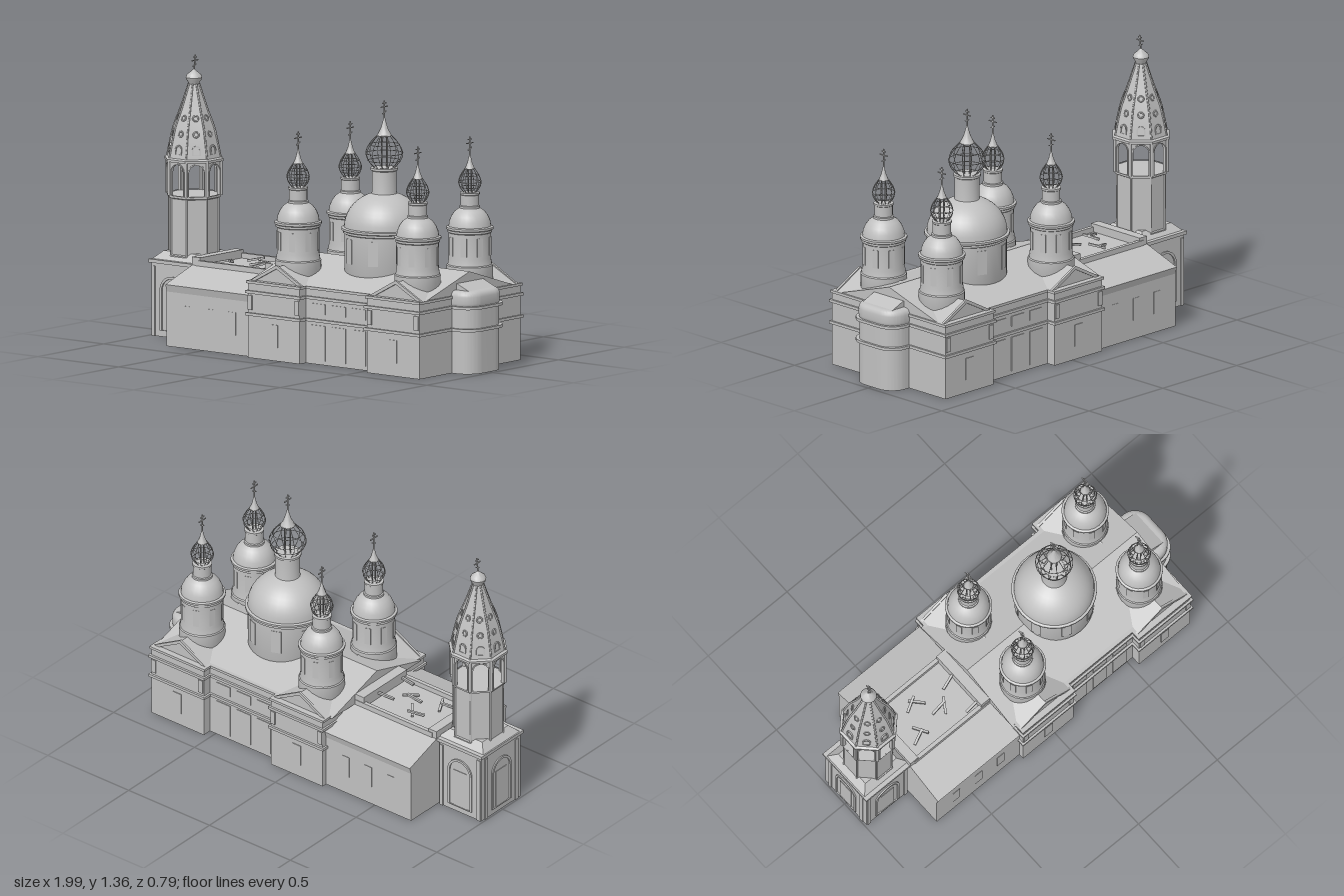
import * as THREE from 'three';
import { toCreasedNormals } from 'three/addons/utils/BufferGeometryUtils.js';

const stone = new THREE.MeshStandardMaterial({ color: 0xc0c0c0, side: THREE.DoubleSide });
stone.name = 'grey stone';

function add(parent, name, geo, x = 0, y = 0, z = 0) {
  const m = new THREE.Mesh(geo, stone);
  m.name = name;
  m.position.set(x, y, z);
  parent.add(m);
  return m;
}
function group(parent, name, x = 0, y = 0, z = 0) {
  const g = new THREE.Group();
  g.name = name;
  g.position.set(x, y, z);
  parent.add(g);
  return g;
}
// Box given by its limits
function block(parent, name, x0, x1, y0, y1, z0, z1) {
  return add(parent, name, new THREE.BoxGeometry(x1 - x0, y1 - y0, z1 - z0), (x0 + x1) / 2, (y0 + y1) / 2, (z0 + z1) / 2);
}
const pts = (a) => a.map(([x, y]) => new THREE.Vector2(x, y));
const turned = (profile, seg = 24) => toCreasedNormals(new THREE.LatheGeometry(pts(profile), seg), 0.6);
// Eight-sided solid with flat faces toward the axes; profile holds apothems
const octagon = (profile) => toCreasedNormals(new THREE.LatheGeometry(
  pts(profile.map(([a, y]) => [a / Math.cos(Math.PI / 8), y])), 8, Math.PI / 8), 0.3);
// Polygon section in (x, y) extruded along z, centred
function prism(points, length) {
  return new THREE.ExtrudeGeometry(new THREE.Shape(pts(points)), { depth: length, bevelEnabled: false }).translate(0, 0, -length / 2);
}
// Round-headed outline standing on y0
function archPath(P, w, y0, top) {
  const p = new P();
  p.moveTo(-w, y0);
  p.lineTo(w, y0);
  p.lineTo(w, top - w);
  p.absarc(0, top - w, w, 0, Math.PI, false);
  p.lineTo(-w, y0);
  return p;
}
function archFrame(w, y0, top, rim, depth) {
  const s = archPath(THREE.Shape, w + rim, y0, top + rim);
  s.holes.push(archPath(THREE.Path, w, y0 + 0.002, top));
  return new THREE.ExtrudeGeometry(s, { depth, bevelEnabled: false, curveSegments: 8 });
}

function cross(parent, y, h) {
  const g = group(parent, 'cross', 0, y, 0);
  const t = 0.005;
  add(g, 'crossPost', new THREE.BoxGeometry(t, h, t), 0, h / 2);
  add(g, 'crossTopBar', new THREE.BoxGeometry(t, t, h * 0.28), 0, h * 0.86);
  add(g, 'crossMainBar', new THREE.BoxGeometry(t, t, h * 0.58), 0, h * 0.66);
  add(g, 'crossSlantBar', new THREE.BoxGeometry(t, t, h * 0.32), 0, h * 0.36).rotation.x = 0.45;
  return g;
}

// Open onion frame of ribs and hoops around a core, capped by a cone
function onionCage(parent, y, r, h, neck, cap, tip) {
  const g = group(parent, 'onionCage', 0, y, 0);
  const line = [[neck, 0], [r * 0.88, h * 0.22], [r, h * 0.45], [r * 0.82, h * 0.72], [cap, h]];
  const curve = new THREE.CatmullRomCurve3(line.map(([a, b]) => new THREE.Vector3(a, b, 0)));
  const rib = new THREE.TubeGeometry(curve, 10, 0.0018, 4);
  for (let i = 0; i < 12; i++) add(g, 'cageRib', rib).rotation.y = i * Math.PI / 6;
  for (const [a, b] of line) add(g, 'cageHoop', new THREE.TorusGeometry(a, 0.0018, 4, 24).rotateX(Math.PI / 2), 0, b);
  for (let i = 0; i < 4; i++) {
    const a = i * Math.PI / 2;
    add(g, 'corePost', new THREE.CylinderGeometry(0.003, 0.003, h, 5), r * 0.2 * Math.cos(a), h / 2, r * 0.2 * Math.sin(a));
  }
  add(g, 'capCone', turned([[0, h], [cap, h], [cap * 0.5, h + tip * 0.35], [cap * 0.2, h + tip * 0.7], [0.001, h + tip]], 12));
}

function drumWindows(parent, n, r, y, w, h) {
  for (let i = 0; i < n; i++) {
    const a = (i + 0.5) * 2 * Math.PI / n;
    add(parent, 'drumWindow', new THREE.BoxGeometry(w, h, 0.008), r * Math.sin(a), y, r * Math.cos(a)).rotation.y = a;
  }
}

function smallDome(parent, x, z) {
  const g = group(parent, 'smallDome', x, 0, z);
  add(g, 'drum', turned([[0.095, 0.36], [0.112, 0.4], [0.112, 0.47], [0.107, 0.475], [0.102, 0.505], [0.102, 0.628],
    [0.108, 0.632], [0.108, 0.642], [0.114, 0.646], [0.114, 0.656], [0.103, 0.66]]));
  add(g, 'dome', turned([[0.103, 0.658], [0.099, 0.685], [0.088, 0.71], [0.072, 0.732], [0.05, 0.747], [0.05, 0.757],
    [0.044, 0.76], [0.044, 0.81], [0.048, 0.813], [0.048, 0.822], [0, 0.824]]));
  drumWindows(g, 8, 0.099, 0.565, 0.03, 0.09);
  onionCage(g, 0.822, 0.055, 0.115, 0.03, 0.024, 0.085);
  cross(g, 1.0, 0.092);
}

function mainDome(parent) {
  const g = group(parent, 'mainDome', 0.33, 0, 0);
  add(g, 'drum', turned([[0.18, 0.4], [0.192, 0.43], [0.192, 0.612], [0.199, 0.616], [0.199, 0.626], [0.206, 0.63],
    [0.206, 0.64], [0.194, 0.644]], 32));
  const dome = [];
  for (let i = 0; i <= 9; i++) {
    const a = i / 9 * 1.25;
    dome.push([0.194 * Math.cos(a), 0.642 + 0.172 * Math.sin(a)]);
  }
  add(g, 'dome', turned([...dome, [0.06, 0.812], [0.06, 0.915], [0.066, 0.919], [0.066, 0.93], [0, 0.932]], 32));
  drumWindows(g, 8, 0.189, 0.535, 0.05, 0.12);
  onionCage(g, 0.93, 0.09, 0.155, 0.05, 0.036, 0.1);
  cross(g, 1.165, 0.09);
}

function bellTower(parent) {
  const g = group(parent, 'bellTower', -0.86, 0, 0);
  // Square base with round-headed niches
  block(g, 'towerBase', -0.13, 0.13, 0, 0.365, -0.15, 0.15);
  block(g, 'baseCornice', -0.14, 0.14, 0.355, 0.372, -0.16, 0.16);
  for (const [ry, d] of [[0, 0.15], [Math.PI, 0.15], [-Math.PI / 2, 0.13]]) {
    const side = group(g, 'nicheSide');
    side.rotation.y = ry;
    add(side, 'nicheFrame', archFrame(0.062, 0.03, 0.285, 0.012, 0.007), 0, 0, d);
    add(side, 'nicheDoor', new THREE.BoxGeometry(0.08, 0.2, 0.004), 0, 0.13, d + 0.001);
    for (const s of [-1, 1]) add(side, 'pilaster', new THREE.BoxGeometry(0.02, 0.34, 0.006), s * 0.115, 0.17, d + 0.002);
  }
  add(g, 'baseRoof', new THREE.CylinderGeometry(0.14, 0.198, 0.04, 4, 1).rotateY(Math.PI / 4).toNonIndexed(), 0.005, 0.39).geometry.computeVertexNormals();

  // Eight-sided shaft, open belfry and spire
  const o = group(g, 'octagonTower', 0.012, 0, 0);
  add(o, 'shaft', octagon([[0.12, 0.37], [0.12, 0.395], [0.115, 0.4], [0.115, 0.67], [0.124, 0.675], [0.124, 0.685], [0, 0.686]]));
  add(o, 'spire', octagon([[0, 0.85], [0.136, 0.85], [0.136, 0.862], [0.124, 0.868], [0.112, 0.93], [0.094, 1.01],
    [0.062, 1.1], [0.04, 1.17], [0.024, 1.22]]));
  const half = 0.126 * Math.tan(Math.PI / 8);
  const wall = new THREE.Shape(pts([[-half, 0.68], [half, 0.68], [half, 0.855], [-half, 0.855]]));
  wall.holes.push(archPath(THREE.Path, 0.037, 0.684, 0.84));
  const wallGeo = new THREE.ExtrudeGeometry(wall, { depth: 0.014, bevelEnabled: false, curveSegments: 8 });
  const ribCurve = new THREE.CatmullRomCurve3([[0.134, 0.868], [0.121, 0.93], [0.102, 1.01], [0.067, 1.1], [0.043, 1.17], [0.026, 1.22]]
    .map(([r, y]) => new THREE.Vector3(0, y, r)));
  const ribGeo = new THREE.TubeGeometry(ribCurve, 12, 0.005, 5);
  const gable = archFrame(0.014, 0, 0.04, 0.007, 0.016);
  const eye = new THREE.TorusGeometry(0.013, 0.004, 5, 12);
  for (let i = 0; i < 8; i++) {
    const f = group(o, 'octagonSide');
    f.rotation.y = i * Math.PI / 4;
    add(f, 'belfryArch', wallGeo, 0, 0, 0.112);
    add(f, 'archTrim', archFrame(0.037, 0.686, 0.84, 0.006, 0.005), 0, 0, 0.125);
    add(f, 'dormer', gable, 0, 0.885, 0.108).rotation.x = -0.12;
    add(f, 'spireWindow', eye, 0, 0.985, 0.1).rotation.x = -0.25;
    add(f, 'spireWindow', eye, 0, 1.06, 0.077).rotation.x = -0.34;
    const e = group(o, 'octagonEdge');
    e.rotation.y = (i + 0.5) * Math.PI / 4;
    add(e, 'spireRib', ribGeo);
    add(e, 'cornerColumn', new THREE.CylinderGeometry(0.008, 0.008, 0.17, 6), 0, 0.77, 0.135);
    add(e, 'shaftEdge', new THREE.CylinderGeometry(0.005, 0.005, 0.28, 6), 0, 0.535, 0.124);
  }
  add(o, 'finial', turned([[0.024, 1.215], [0.027, 1.225], [0.036, 1.238], [0.04, 1.25], [0.034, 1.264], [0.016, 1.278], [0.004, 1.29]], 16));
  cross(o, 1.28, 0.08).rotation.z = -0.1;
}

function apse(parent) {
  const g = group(parent, 'apse');
  const plan = (o) => {
    const s = new THREE.Shape(), x = 0.975 + o, z = 0.138 + o, r = 0.09;
    s.moveTo(0.8, -z);
    s.lineTo(x - r, -z);
    s.absarc(x - r, -z + r, r, -Math.PI / 2, 0, false);
    s.absarc(x - r, z - r, r, 0, Math.PI / 2, false);
    s.lineTo(0.8, z);
    return s;
  };
  const layer = (name, o, y0, y1, bevel = 0) => add(g, name, toCreasedNormals(new THREE.ExtrudeGeometry(plan(o), {
    depth: y1 - y0 - bevel, bevelEnabled: bevel > 0, bevelThickness: bevel, bevelSize: bevel, bevelOffset: -bevel, bevelSegments: 4, curveSegments: 10,
  }).rotateX(-Math.PI / 2), 0.5), 0, y0, 0);
  layer('apseWall', 0, 0, 0.37);
  layer('apseRoof', 0.002, 0.34, 0.4, 0.028);
  layer('apseCornice', 0.012, 0.206, 0.22);
  layer('apseCornice', 0.012, 0.314, 0.328);
  const slope = prism([[0.8, 0.39], [0.945, 0.395], [0.862, 0.43], [0.8, 0.43]], 0.2);
  add(g, 'apseRoofSlope', slope);
}

function church(parent) {
  const g = group(parent, 'churchBody');
  const sections = [['westWing', -0.2, 0.12, 0.385], ['middle', 0.1, 0.55, 0.338], ['eastWing', 0.535, 0.86, 0.385]];
  for (const [name, x0, x1, z] of sections) {
    block(g, name + 'Wall', x0, x1, 0, 0.37, -z, z);
    for (const y of [0.206, 0.314]) block(g, name + 'Cornice', x0 - 0.01, x1 + 0.01, y, y + 0.014, -z - 0.011, z + 0.011);
    block(g, name + 'Eave', x0 - 0.007, x1 + 0.007, 0.362, 0.375, -z - 0.006, z + 0.006);
  }
  // Main ridge roof with cross gables over the wings
  add(g, 'mainRoof', prism([[-0.34, 0.37], [0.34, 0.37], [0, 0.477]], 1.08).rotateY(Math.PI / 2), 0.318);
  for (const x of [-0.04, 0.698]) {
    add(g, 'crossGable', prism([[-0.16, 0.37], [0.16, 0.37], [0, 0.455]], 0.72), x);
    for (const s of [-1, 1]) {
      add(g, 'gableTrim', prism([[-0.165, 0.372], [-0.135, 0.372], [0, 0.444], [0.135, 0.372], [0.165, 0.372], [0, 0.462]], 0.012), x, 0, s * 0.362);
      for (const k of [-1, 1]) {
        block(g, 'cornerPilaster', x + k * 0.145 - 0.013, x + k * 0.145 + 0.013, 0.235, 0.305, s * 0.385 - 0.006, s * 0.385 + 0.006);
      }
      add(g, 'wingWindow', new THREE.BoxGeometry(0.05, 0.11, 0.008), x, 0.12, s * 0.385);
    }
  }
  // Doors and windows of the recessed middle walls
  for (const s of [-1, 1]) for (const x of [0.2, 0.325, 0.45]) {
    add(g, 'middleWindow', new THREE.BoxGeometry(0.085, 0.05, 0.008), x, 0.27, s * 0.338);
    add(g, 'middleDoor', new THREE.BoxGeometry(0.085, 0.17, 0.008), x, 0.105, s * 0.338);
  }
  for (const x of [-0.042, 0.698]) for (const z of [-0.198, 0.198]) smallDome(g, x, z);
  mainDome(g);
}

function refectory(parent) {
  const g = group(parent, 'refectory');
  block(g, 'refectoryWall', -0.725, -0.18, 0, 0.27, -0.358, 0.358);
  // Flared eaves, lean-to roofs and the sunken centre
  const section = [[-0.358, 0.265], [0.358, 0.265], [0.368, 0.3], [0.165, 0.37], [-0.165, 0.37], [-0.368, 0.3]];
  add(g, 'leanToRoof', prism(section, 0.54).rotateY(Math.PI / 2), -0.455);
  for (const s of [-1, 1]) block(g, 'longRim', -0.7, -0.2, 0.36, 0.395, s * 0.158 - 0.01, s * 0.158 + 0.01);
  block(g, 'westRim', -0.725, -0.675, 0.36, 0.41, -0.165, 0.165);
  block(g, 'eastRim', -0.275, -0.19, 0.36, 0.425, -0.165, 0.165);
  // Fallen beams
  const beams = [[-0.52, -0.07, 0.5], [-0.49, -0.06, -0.9], [-0.6, 0.08, 0.4], [-0.57, 0.06, -1.1], [-0.43, 0.03, 0.1],
    [-0.4, 0.04, 1.0], [-0.31, -0.04, 0.3], [-0.3, 0.13, 0.05]];
  for (const [x, z, a] of beams) add(g, 'fallenBeam', new THREE.BoxGeometry(0.085, 0.01, 0.012), x, 0.39, z).rotation.set(0, a, 0.2);
  for (const s of [-1, 1]) for (const x of [-0.6, -0.46, -0.32]) {
    add(g, 'refectoryWindow', new THREE.BoxGeometry(0.045, 0.11, 0.004), x, 0.15, s * 0.358);
  }
}

export function createModel() {
  const model = new THREE.Group();
  model.name = 'church';
  church(model);
  apse(model);
  refectory(model);
  bellTower(model);
  return model;
}
